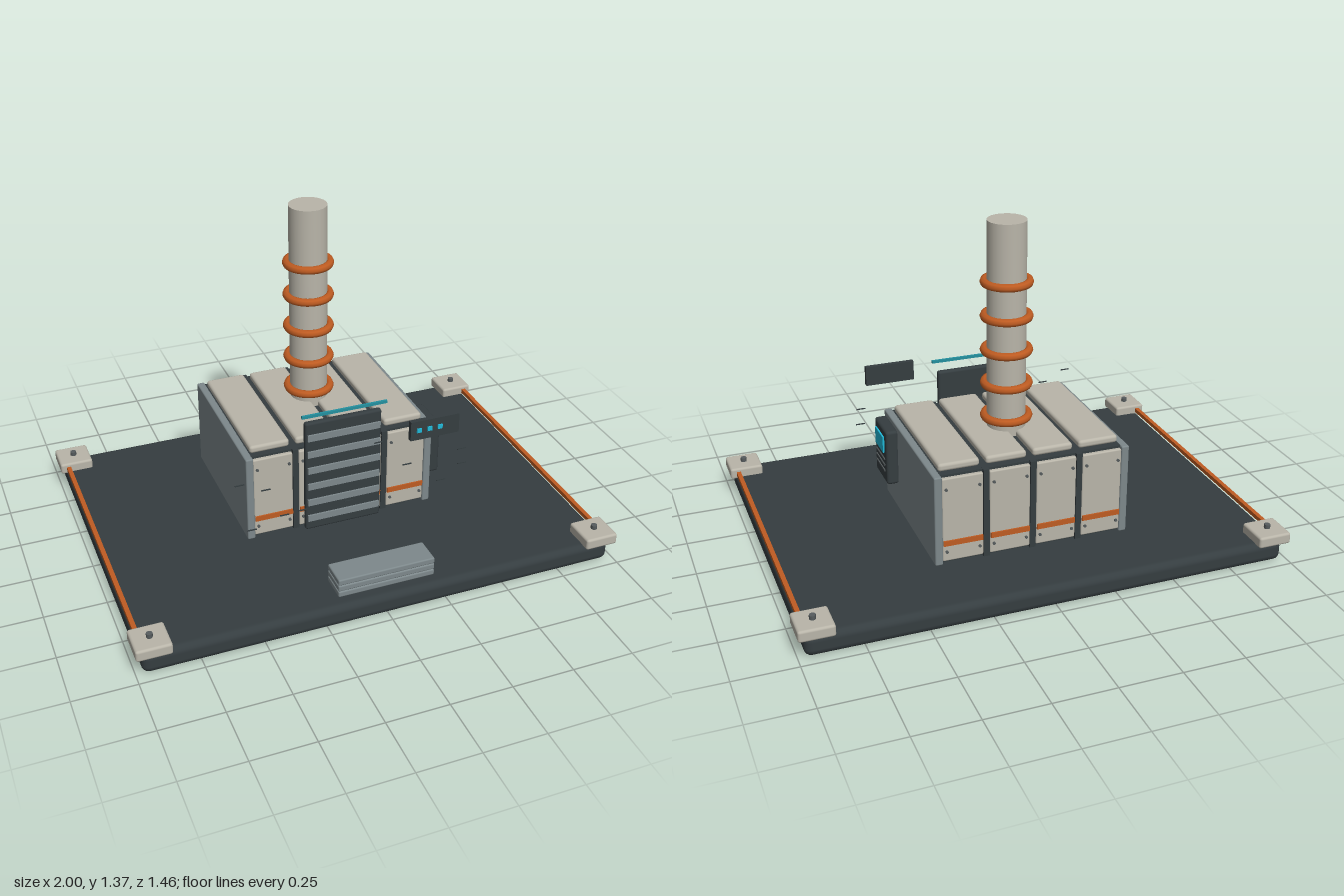
import * as THREE from 'three';
import { RoundedBoxGeometry } from 'three/addons/geometries/RoundedBoxGeometry.js';

const paint = (color) => new THREE.MeshStandardMaterial({ color });
const dark = paint(0x353d40);
const grey = paint(0x7d888b);
const beige = paint(0xb9b5a9);
const orange = paint(0xbf5c22);
const cyan = paint(0x20b8d8);
const teal = paint(0x23909f);
const steel = paint(0x565c5e);

export function createModel() {
  const model = new THREE.Group();

  const add = (name, geometry, material, x, y, z, parent = model) => {
    const mesh = new THREE.Mesh(geometry, material);
    mesh.name = name;
    mesh.position.set(x, y, z);
    parent.add(mesh);
    return mesh;
  };
  // box given by its lower and upper limits on each axis; r rounds the edges
  const box = (name, material, [x0, x1], [y0, y1], [z0, z1], r = 0, parent = model) => {
    const size = [x1 - x0, y1 - y0, z1 - z0];
    const geometry = r ? new RoundedBoxGeometry(...size, 2, r) : new THREE.BoxGeometry(...size);
    return add(name, geometry, material, (x0 + x1) / 2, (y0 + y1) / 2, (z0 + z1) / 2, parent);
  };
  const subgroup = (name) => {
    const group = new THREE.Group();
    group.name = name;
    model.add(group);
    return group;
  };

  // Base slab, corner blocks with bolts, side rails
  box('base', dark, [-0.975, 0.975], [0, 0.09], [-0.715, 0.715], 0.03);
  for (const sx of [-1, 1]) {
    for (const sz of [-1, 1]) {
      add('cornerBlock', new RoundedBoxGeometry(0.14, 0.048, 0.14, 2, 0.01), beige, sx * 0.93, 0.106, sz * 0.662);
      add('cornerBolt', new THREE.CylinderGeometry(0.013, 0.013, 0.018, 8), steel, sx * 0.93, 0.138, sz * 0.662);
    }
    add('sideRail', new THREE.BoxGeometry(0.018, 0.018, 1.2), orange, sx * 0.966, 0.106, 0);
  }

  // Housing: dark core between two grey side walls
  const housing = subgroup('housing');
  box('core', dark, [-0.372, 0.372], [0.117, 0.492], [-0.44, 0.19], 0, housing);
  for (const s of [-1, 1])
    add('sideWall', new RoundedBoxGeometry(0.032, 0.378, 0.668, 2, 0.006), grey, s * 0.386, 0.304, -0.124, housing);

  // Four cladding bays: roof plate, front plate and back plate
  for (let i = 0; i < 4; i++) {
    const x = (i - 1.5) * 0.192;
    box('roofPlate', beige, [x - 0.083, x + 0.083], [0.492, 0.524], [-0.415, 0.17], 0.012, housing);
    for (const s of [-1, 1]) {
      const face = (d) => -0.125 + s * d;
      add('claddingPlate', new RoundedBoxGeometry(0.166, 0.355, 0.022, 2, 0.006), beige, x, 0.305, face(0.319), housing);
      add('claddingStripe', new THREE.BoxGeometry(0.16, 0.022, 0.008), orange, x, 0.207, face(0.332), housing);
      for (const bx of [-0.067, 0.067])
        for (const by of [0.17, 0.437]) {
          const bolt = add('claddingBolt', new THREE.CylinderGeometry(0.006, 0.006, 0.008, 8), steel, x + bx, by, face(0.333), housing);
          bolt.rotation.x = Math.PI / 2;
        }
    }
  }
  // Dark ribs in the gaps between the bays
  for (const x of [-0.192, 0, 0.192])
    for (const z of [-0.44, 0.19])
      add('rib', new THREE.BoxGeometry(0.024, 0.375, 0.03), dark, x, 0.305, z, housing);

  // Chimney with five rings
  const chimney = subgroup('chimney');
  chimney.position.z = -0.157;
  add('stack', new THREE.CylinderGeometry(0.078, 0.078, 0.87, 24), beige, 0, 0.935, 0, chimney);
  for (let i = 0; i < 5; i++) {
    const ring = add('ring', new THREE.TorusGeometry(0.088, 0.017, 8, 32), orange, 0, 0.565 + i * 0.14, 0, chimney);
    ring.rotation.x = Math.PI / 2;
  }

  // Front shutter with slats and a light bar above it
  const shutter = subgroup('shutter');
  box('shutterPanel', dark, [-0.163, 0.163], [0.12, 0.622], [0.21, 0.238], 0.01, shutter);
  for (let i = 0; i < 6; i++)
    add('shutterSlat', new THREE.BoxGeometry(0.31, 0.028, 0.012), grey, 0, 0.178 + i * 0.0757, 0.24, shutter);
  box('lightBar', teal, [-0.18, 0.18], [0.653, 0.665], [0.238, 0.248], 0, shutter);

  // Control box on the left wall
  const control = subgroup('controlBox');
  box('controlCase', dark, [0.398, 0.45], [0.237, 0.475], [0.02, 0.19], 0.012, control);
  box('controlScreen', cyan, [0.445, 0.457], [0.373, 0.443], [0.05, 0.162], 0, control);
  for (const y of [0.293, 0.319, 0.345])
    box('controlVent', steel, [0.445, 0.454], [y - 0.003, y + 0.003], [0.045, 0.165], 0, control);

  // Small hanging sign with three lamps
  const sign = subgroup('sign');
  box('signPanel', dark, [0.225, 0.435], [0.54, 0.624], [0.36, 0.38], 0, sign);
  for (const x of [0.26, 0.305, 0.35])
    add('signLamp', new THREE.BoxGeometry(0.02, 0.018, 0.008), cyan, x, 0.584, 0.382, sign);

  // Stacked grey plates at the front edge
  for (let i = 0; i < 3; i++)
    add('frontPlate', new RoundedBoxGeometry(0.4, 0.026, 0.115, 2, 0.006), grey, 0, 0.128 + i * 0.027, 0.63);

  // Thin floating dashes in front of the housing
  const dashes = [
    [-0.475, 0.485], [-0.43, 0.268], [-0.37, 0.44], [-0.295, 0.305], [-0.22, 0.31], [-0.025, 0.305],
    [0.1, 0.55], [0.225, 0.42], [0.2, 0.24], [0.38, 0.31], [0.465, 0.44], [0.47, 0.37],
  ];
  for (const [x, y] of dashes)
    add('floatingDash', new THREE.BoxGeometry(0.038, 0.004, 0.004), dark, x, y, 0.355);

  return model;
}
